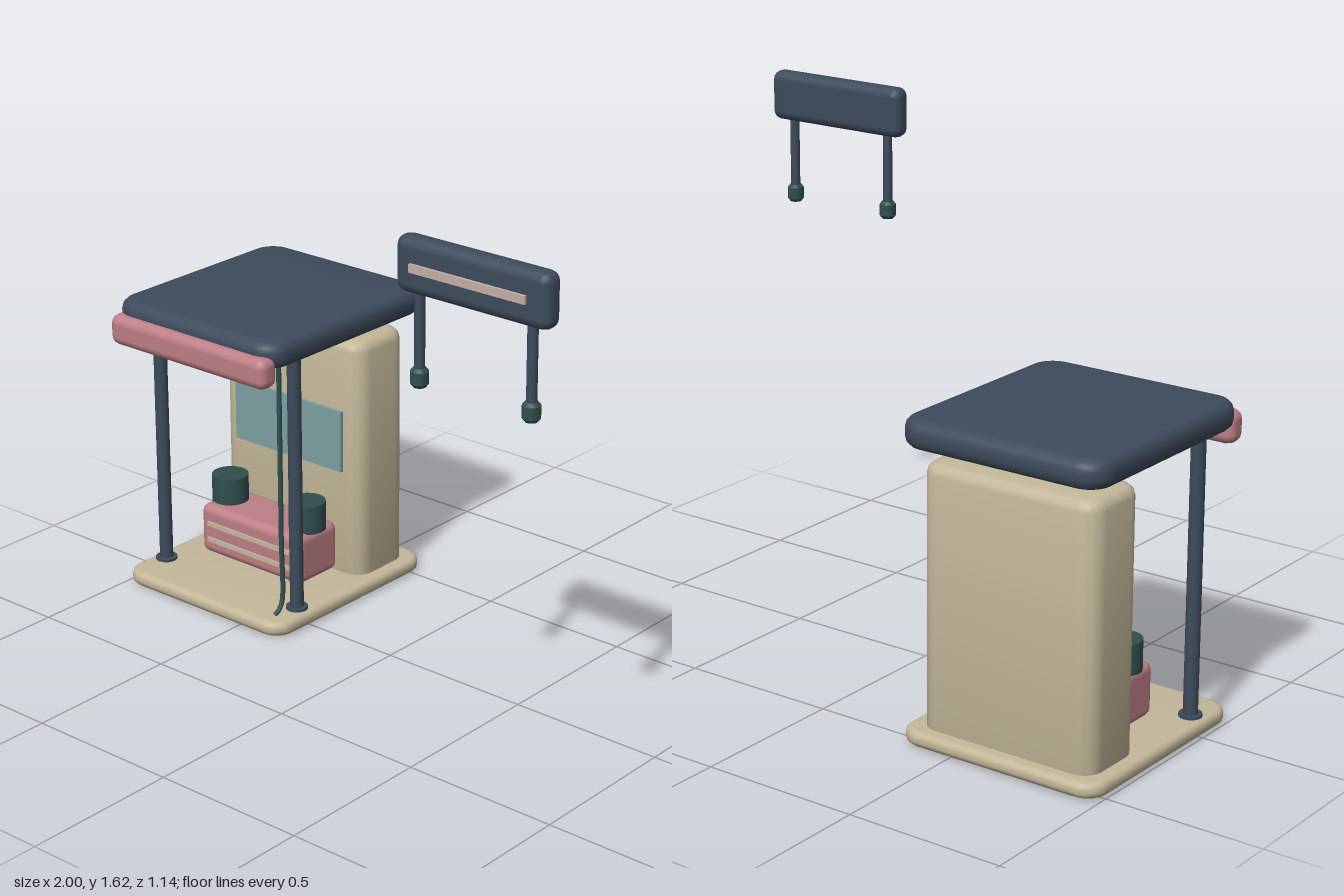
import * as THREE from 'three';
import { toCreasedNormals } from 'three/addons/utils/BufferGeometryUtils.js';
import { RoundedBoxGeometry } from 'three/addons/geometries/RoundedBoxGeometry.js';

const flat = (name, color) => {
  const m = new THREE.MeshStandardMaterial({ color });
  m.name = name;
  return m;
};

export function createModel() {
  const navy = flat('navy', 0x3d4b5c);
  const cream = flat('cream', 0xc4b89a);
  const rose = flat('rose', 0xbd7f86);
  const green = flat('dark green', 0x2f4f4e);
  const glass = flat('glass', 0x7d9fa2);
  const pale = flat('pale strip', 0xc4b0a6);

  const model = new THREE.Group();
  model.name = 'kiosk';
  const kiosk = new THREE.Group();
  kiosk.name = 'booth';
  const sign = new THREE.Group();
  sign.name = 'sign';
  model.add(kiosk, sign);

  const add = (parent, name, geometry, material, x, y, z) => {
    const mesh = new THREE.Mesh(geometry, material);
    mesh.name = name;
    mesh.position.set(x, y, z);
    parent.add(mesh);
    return mesh;
  };

  // Upright block with a rounded plan and softened rims, standing on y = 0
  const roundedBlock = (w, h, d, corner, bevel) => {
    const x = w / 2, y = d / 2, r = corner;
    const s = new THREE.Shape();
    s.moveTo(-x + r, -y);
    s.lineTo(x - r, -y);
    s.absarc(x - r, -y + r, r, -Math.PI / 2, 0);
    s.lineTo(x, y - r);
    s.absarc(x - r, y - r, r, 0, Math.PI / 2);
    s.lineTo(-x + r, y);
    s.absarc(-x + r, y - r, r, Math.PI / 2, Math.PI);
    s.lineTo(-x, -y + r);
    s.absarc(-x + r, -y + r, r, Math.PI, Math.PI * 1.5);
    const g = new THREE.ExtrudeGeometry(s, {
      depth: h - 2 * bevel, bevelThickness: bevel, bevelSize: bevel,
      bevelOffset: -bevel, bevelSegments: 3, curveSegments: 5,
    });
    g.rotateX(-Math.PI / 2).translate(0, bevel, 0);
    return toCreasedNormals(g, 0.6);
  };
  const cyl = (r, h, sides = 20) => new THREE.CylinderGeometry(r, r, h, sides);
  const box = (w, h, d) => new THREE.BoxGeometry(w, h, d);
  const cx = -0.66;

  // Floor, roof, cabinet and awning
  add(kiosk, 'base', roundedBlock(0.68, 0.047, 0.72, 0.07, 0.018), cream, cx, 0.004, -0.2);
  add(kiosk, 'roof', roundedBlock(0.68, 0.087, 0.74, 0.08, 0.032), navy, cx, 0.899, -0.2);
  add(kiosk, 'cabinet', roundedBlock(0.59, 0.835, 0.24, 0.06, 0.033), cream, cx, 0.015, -0.395);
  add(kiosk, 'awning', new RoundedBoxGeometry(0.655, 0.1, 0.075, 2, 0.03), rose, cx, 0.895, 0.1625);
  add(kiosk, 'window', box(0.455, 0.207, 0.012), glass, cx + 0.003, 0.512, -0.269);

  // Counter with two trim strips
  add(kiosk, 'counter', new RoundedBoxGeometry(0.435, 0.17, 0.19, 2, 0.028), rose, cx, 0.152, -0.17);
  for (const y of [0.122, 0.177]) {
    add(kiosk, 'counterStrip', box(0.36, 0.015, 0.009), cream, cx, y, -0.073);
  }

  // Mirrored pairs: posts with feet, canisters, ceiling lamps
  for (const side of [-1, 1]) {
    const px = cx + side * 0.287;
    add(kiosk, 'post', cyl(0.022, 0.92), navy, px, 0.46, 0.015);
    add(kiosk, 'postFoot', cyl(0.035, 0.012), navy, px, 0.054, 0.015);
    add(kiosk, 'canister', cyl(0.06, 0.095, 28), green, cx + side * 0.168, 0.278, -0.17);
    add(kiosk, 'ceilingLamp', cyl(0.037, 0.014), cream, cx + side * 0.22, 0.897, -0.037);
  }

  // Drain pipe in front of the left post, kicking forward at the floor
  const path = new THREE.CatmullRomCurve3([
    [0.92, 0.065], [0.6, 0.065], [0.3, 0.065], [0.09, 0.065], [0.065, 0.078], [0.05, 0.102],
  ].map(([y, z]) => new THREE.Vector3(0, y, z)), false, 'centripetal');
  add(kiosk, 'drainPipe', new THREE.TubeGeometry(path, 40, 0.008, 10), green, -0.39, 0, 0);

  // Raised sign with two legs
  add(sign, 'signBoard', new RoundedBoxGeometry(0.517, 0.16, 0.07, 2, 0.03), navy, 0.7415, 1.543, 0.525);
  add(sign, 'signStrip', box(0.388, 0.024, 0.009), pale, 0.738, 1.543, 0.5645);
  for (const x of [0.548, 0.928]) {
    add(sign, 'signLeg', cyl(0.015, 0.26, 16), navy, x, 1.35, 0.525);
    const foot = [[0, -0.028], [0.018, -0.028], [0.026, -0.018], [0.026, 0.018], [0.018, 0.028], [0, 0.028]]
      .map(([r, y]) => new THREE.Vector2(r, y));
    add(sign, 'signFoot', toCreasedNormals(new THREE.LatheGeometry(foot, 16), 0.6), green, x, 1.223, 0.525);
  }
  return model;
}
